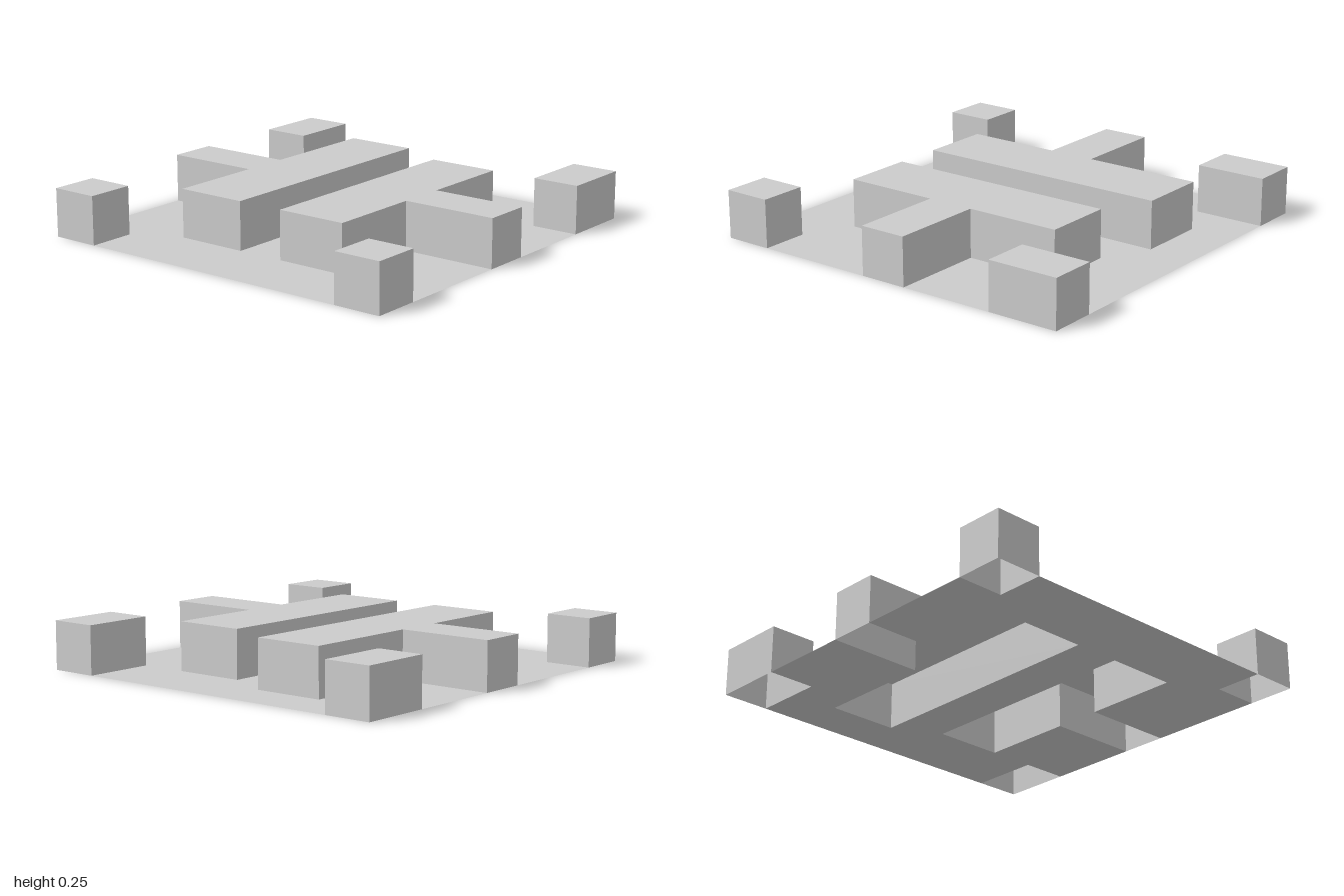
import * as THREE from 'three';
import { mergeGeometries } from 'three/addons/utils/BufferGeometryUtils.js';

const HEIGHT = 0.25;
const material = new THREE.MeshStandardMaterial({
  color: 0xcccccc, flatShading: true, side: THREE.DoubleSide,
});

// Horizontal sheet from plan points [x, z]
function sheet(points, y) {
  const shape = new THREE.Shape(points.map(([x, z]) => new THREE.Vector2(x, -z)));
  return new THREE.ShapeGeometry(shape).rotateX(-Math.PI / 2).translate(0, y, 0).toNonIndexed();
}

// Hollow block: a top sheet and walls, open underneath
function hollowBlock(points) {
  const pos = [], nor = [], uv = [];
  points.forEach(([ax, az], i) => {
    const [bx, bz] = points[(i + 1) % points.length];
    const len = Math.hypot(bx - ax, bz - az);
    pos.push(ax, 0, az, bx, 0, bz, bx, HEIGHT, bz, ax, 0, az, bx, HEIGHT, bz, ax, HEIGHT, az);
    uv.push(0, 0, 1, 0, 1, 1, 0, 0, 1, 1, 0, 1);
    for (let k = 0; k < 6; k++) nor.push((az - bz) / len, 0, (bx - ax) / len);
  });
  const walls = new THREE.BufferGeometry();
  walls.setAttribute('position', new THREE.Float32BufferAttribute(pos, 3));
  walls.setAttribute('normal', new THREE.Float32BufferAttribute(nor, 3));
  walls.setAttribute('uv', new THREE.Float32BufferAttribute(uv, 2));
  return mergeGeometries([walls, sheet(points, HEIGHT)]);
}

// Inner borders of the blocks, running counter-clockwise round the floor.
// Built for the +x side; mirrored (and reversed) for the -x side.
const mirror = (path) => path.map(([x, z]) => [-x, z]).reverse();
const frontCorner = [[0.75, 1], [0.75, 0.75], [1, 0.75]];
const backCorner = [[1, -0.625], [0.75, -0.625], [0.75, -1]];
const tee = (back) => [
  [1, 0.125], [0.5, 0.125], [0.5, 0.625], [0.125, 0.625],
  [0.125, back], [0.5, back], [0.5, -0.125], [1, -0.125],
];

export function createModel() {
  const model = new THREE.Group();
  model.name = 'blockBoard';

  const blocks = [
    { name: 'frontLeftCornerBlock', path: frontCorner, corner: [[1, 1]] },
    { name: 'leftTeeBlock', path: tee(-0.625), corner: [] },
    { name: 'backLeftCornerBlock', path: backCorner, corner: [[1, -1]] },
    { name: 'backRightCornerBlock', path: mirror(backCorner), corner: [[-1, -1]] },
    { name: 'rightTeeBlock', path: mirror(tee(-0.75)), corner: [] },
    { name: 'frontRightCornerBlock', path: mirror(frontCorner), corner: [[-1, 1]] },
  ];

  const add = (name, geometry) => {
    const mesh = new THREE.Mesh(geometry, material);
    mesh.name = name;
    model.add(mesh);
  };

  // Thin floor, cut away under every block
  add('floor', sheet(blocks.flatMap((b) => b.path), 0));

  // Raised hollow blocks
  for (const { name, path, corner } of blocks) {
    add(name, hollowBlock([...path, ...corner].reverse()));
  }
  return model;
}
